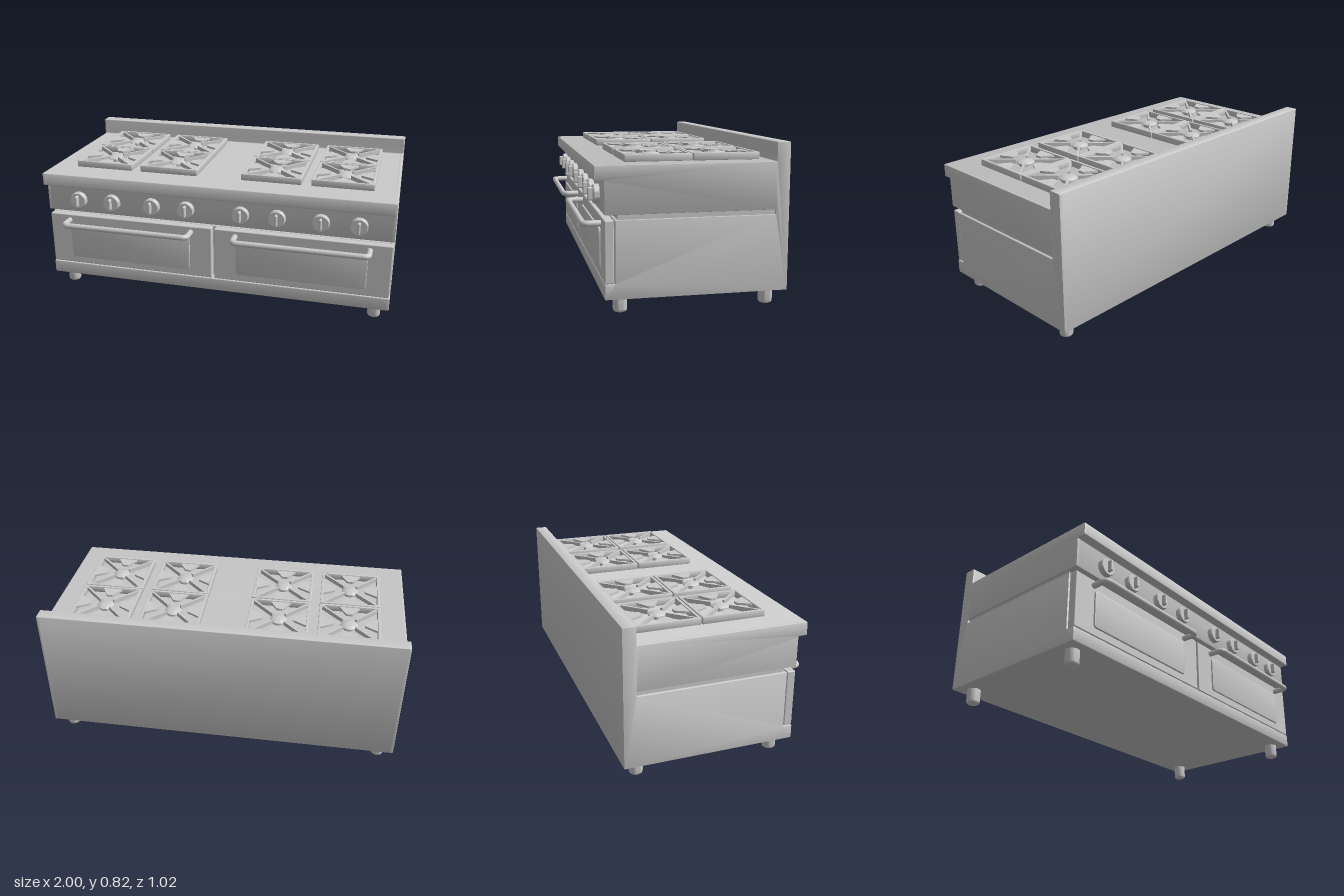
import * as THREE from 'three';
import { toCreasedNormals } from 'three/addons/utils/BufferGeometryUtils.js';
import { RoundedBoxGeometry } from 'three/addons/geometries/RoundedBoxGeometry.js';

const steel = new THREE.MeshStandardMaterial({ color: 0xcccccc });

function add(parent, name, geometry, x = 0, y = 0, z = 0) {
  const mesh = new THREE.Mesh(geometry, steel);
  mesh.name = name;
  mesh.position.set(x, y, z);
  parent.add(mesh);
  return mesh;
}

// Closed outline with small rounded corners
function roundedShape(points, r) {
  const shape = new THREE.Shape();
  const v = points.map(([a, b]) => new THREE.Vector2(a, b));
  v.forEach((p, i) => {
    const prev = v[(i + v.length - 1) % v.length], next = v[(i + 1) % v.length];
    const a = p.clone().add(prev.clone().sub(p).setLength(r));
    const b = p.clone().add(next.clone().sub(p).setLength(r));
    if (i === 0) shape.moveTo(a.x, a.y); else shape.lineTo(a.x, a.y);
    shape.quadraticCurveTo(p.x, p.y, b.x, b.y);
  });
  shape.closePath();
  return shape;
}

function extrude(shape, depth, bevel = 0) {
  const g = new THREE.ExtrudeGeometry(shape, {
    depth: depth - 2 * bevel, curveSegments: 4, bevelEnabled: bevel > 0,
    bevelSize: bevel, bevelOffset: -bevel, bevelThickness: bevel, bevelSegments: 2,
  });
  g.translate(0, 0, bevel);
  return toCreasedNormals(g, 0.6);
}

// Slice of the body: side profile (z, y) swept along x, with a slot cut back to slotZ
function bodySlice(x0, x1, slotZ, bevel) {
  const profile = [
    [0.41, 0.08], [0.41, 0.155], [0.36, 0.155], [0.36, 0.465], [slotZ, 0.465], [slotZ, 0.49],
    [0.41, 0.49], [0.41, 0.655], [0.457, 0.655], [0.457, 0.726], [-0.44, 0.726],
    [-0.44, 0.823], [-0.51, 0.823], [-0.51, 0.08],
  ].map(([z, y]) => [-z, y]);
  const g = extrude(roundedShape(profile, 0.006), x1 - x0, bevel);
  g.rotateY(Math.PI / 2);
  g.translate(x0, 0, 0);
  return g;
}

// Lay an outline drawn in plan flat, standing on y = 0
function flat(shape, height, bevel = 0) {
  const g = extrude(shape, height, bevel);
  g.rotateX(-Math.PI / 2);
  return g;
}

function makeBurner() {
  const burner = new THREE.Group();
  burner.name = 'burner';
  const square = (h) => [[-h, -h], [h, -h], [h, h], [-h, h]];

  // Square frame
  const frame = roundedShape(square(0.171), 0.008);
  frame.holes.push(new THREE.Path(square(0.155).reverse().map(([a, b]) => new THREE.Vector2(a, b))));
  add(burner, 'grateFrame', flat(frame, 0.037, 0.003));

  // Diagonal bars and tapered fingers
  const bar = new THREE.BoxGeometry(0.17, 0.024, 0.012);
  bar.translate(0.135, 0.022, 0);
  const finger = flat(roundedShape([[0.085, -0.018], [0.157, -0.06], [0.157, 0.06], [0.085, 0.018]], 0.008), 0.012);
  finger.translate(0, 0.02, 0);
  for (let i = 0; i < 4; i++) {
    add(burner, 'grateBar', bar).rotation.y = Math.PI / 4 + i * Math.PI / 2;
    add(burner, 'grateFinger', finger).rotation.y = i * Math.PI / 2;
  }

  // Domed burner cap
  const cap = [[0.036, 0], [0.036, 0.012], [0.047, 0.014], [0.047, 0.02], [0.04, 0.026], [0.024, 0.031], [0, 0.033]];
  const lathe = new THREE.LatheGeometry(cap.map(([r, y]) => new THREE.Vector2(r, y)), 32);
  add(burner, 'burnerCap', toCreasedNormals(lathe, 0.6));
  return burner;
}

function makeKnob() {
  const knob = new THREE.Group();
  knob.name = 'knob';
  const profile = [[0.048, 0], [0.048, 0.025], [0.044, 0.03], [0, 0.03]];
  const dial = new THREE.LatheGeometry(profile.map(([r, y]) => new THREE.Vector2(r, y)), 32);
  dial.rotateX(Math.PI / 2);
  add(knob, 'knobDial', toCreasedNormals(dial, 0.6));
  add(knob, 'knobGrip', new RoundedBoxGeometry(0.016, 0.066, 0.036, 3, 0.007), 0, 0, 0.038);
  return knob;
}

function makeDoor() {
  const door = new THREE.Group();
  door.name = 'ovenDoor';
  add(door, 'doorPanel', new RoundedBoxGeometry(0.988, 0.308, 0.046, 2, 0.006), 0, 0.311, 0.387);

  // Raised window panel
  const w = 0.366;
  const pane = roundedShape([[-w, 0.2], [w, 0.2], [w, 0.405], [-w, 0.405]], 0.018);
  add(door, 'doorWindow', extrude(pane, 0.02, 0.004), 0, 0, 0.4);

  // Bar handle bent back into the door at both ends
  const path = new THREE.CurvePath();
  const p = (x, z) => new THREE.Vector3(x, 0.431, z);
  const e = 0.372, r = 0.03, front = 0.497;
  path.add(new THREE.LineCurve3(p(-e, 0.4), p(-e, front - r)));
  path.add(new THREE.QuadraticBezierCurve3(p(-e, front - r), p(-e, front), p(-e + r, front)));
  path.add(new THREE.LineCurve3(p(-e + r, front), p(e - r, front)));
  path.add(new THREE.QuadraticBezierCurve3(p(e - r, front), p(e, front), p(e, front - r)));
  path.add(new THREE.LineCurve3(p(e, front - r), p(e, 0.4)));
  add(door, 'doorHandle', new THREE.TubeGeometry(path, 160, 0.016, 14));
  return door;
}

export function createModel() {
  const range = new THREE.Group();
  range.name = 'range';

  // Body: centre plus end slices whose slots form the side grooves
  add(range, 'body', bodySlice(-0.985, 0.985, 0.345, 0));
  add(range, 'bodyEndLeft', bodySlice(0.975, 1, -0.44, 0.004));
  add(range, 'bodyEndRight', bodySlice(-1, -0.975, -0.44, 0.004));

  // Two oven doors
  for (const side of [-1, 1]) {
    const door = makeDoor();
    door.position.x = side * 0.502;
    range.add(door);
  }

  // Eight burners in two blocks of four
  for (const x of [-0.686, -0.294, 0.304, 0.699]) {
    for (const z of [-0.227, 0.121]) {
      const burner = makeBurner();
      burner.position.set(x, 0.726, z);
      range.add(burner);
    }
  }

  // Control knobs
  for (const x of [-0.8, -0.596, -0.356, -0.152, 0.163, 0.367, 0.607, 0.81]) {
    const knob = makeKnob();
    knob.position.set(x, 0.568, 0.41);
    range.add(knob);
  }

  // Feet
  const footProfile = [[0, 0], [0.028, 0], [0.034, 0.005], [0.036, 0.014], [0.036, 0.085]];
  const foot = toCreasedNormals(new THREE.LatheGeometry(footProfile.map(([r, y]) => new THREE.Vector2(r, y)), 24), 0.7);
  for (const x of [-0.918, 0.918]) for (const z of [0.325, -0.425]) add(range, 'foot', foot, x, 0, z);

  return range;
}
